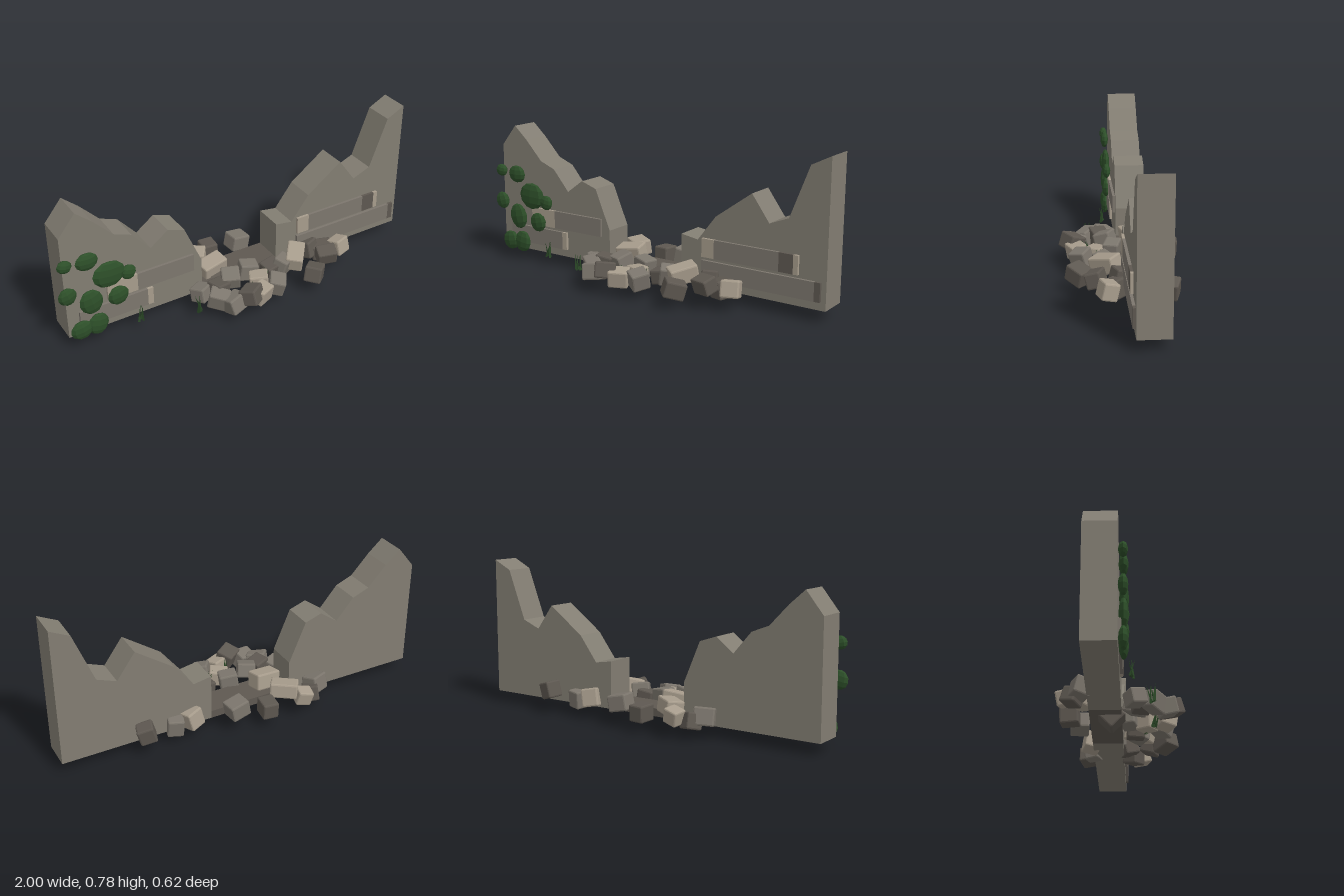
import * as THREE from 'three';
import { RoundedBoxGeometry } from 'three/addons/geometries/RoundedBoxGeometry.js';

export function createModel() {
  const model = new THREE.Group();
  model.name = 'ruinedWall';

  const material = (name, color) => {
    const m = new THREE.MeshStandardMaterial({ color, flatShading: true });
    m.name = name;
    return m;
  };
  const wallStone = material('wallStone', 0x827d72);
  const darkStone = material('darkStone', 0x5e5851);
  const midStone = material('midStone', 0x7c766d);
  const lightStone = material('lightStone', 0xa79c8c);
  const leaf = material('leaf', 0x2d4f29);
  const grass = material('grass', 0x2a4726);

  const add = (name, geometry, mat, parent = model) => {
    const mesh = new THREE.Mesh(geometry, mat);
    mesh.name = name;
    parent.add(mesh);
    return mesh;
  };
  const group = (name) => {
    const g = new THREE.Group();
    g.name = name;
    model.add(g);
    return g;
  };

  // Seeded random numbers from -1 to 1
  let seed = 11;
  const rand = () => {
    seed = (seed * 16807) % 2147483647;
    return (seed / 2147483647) * 2 - 1;
  };

  // Two broken wall halves with jagged tops
  const buildWall = (name, outline) => {
    const shape = new THREE.Shape(outline.map(([x, y]) => new THREE.Vector2(x, y)));
    const geometry = new THREE.ExtrudeGeometry(shape, { depth: 0.155, bevelEnabled: false });
    geometry.translate(0, 0, -0.15);
    add(name, geometry, wallStone);
  };
  buildWall('wallRight', [
    [-0.96, 0.06], [-0.23, 0.06], [-0.23, 0.25], [-0.32, 0.46], [-0.41, 0.49], [-0.505, 0.42],
    [-0.6, 0.53], [-0.69, 0.565], [-0.79, 0.67], [-0.87, 0.74], [-0.96, 0.63],
  ]);
  buildWall('wallLeft', [
    [0.215, 0.06], [1, 0.06], [1, 0.78], [0.9, 0.73], [0.8, 0.47], [0.7, 0.43],
    [0.605, 0.56], [0.41, 0.42], [0.31, 0.29], [0.215, 0.305],
  ]);

  // Low sill across the breach
  add('sill', new THREE.BoxGeometry(0.445, 0.04, 0.155), darkStone).position.set(-0.0075, 0.08, -0.0725);

  // Two stone courses on each half, standing slightly proud: first edge, then [next edge, colour]
  const courses = group('courses');
  const buildCourse = (y, start, stones) => {
    let from = start;
    for (const [to, mat] of stones) {
      const stone = add('courseStone', new THREE.BoxGeometry(to - from, 0.094, 0.02), mat, courses);
      stone.position.set((from + to) / 2, y, 0.009);
      from = to;
    }
  };
  buildCourse(0.258, 0.34, [[0.41, lightStone], [0.76, midStone], [0.835, darkStone], [0.86, lightStone]]);
  buildCourse(0.148, 0.34, [[0.945, midStone], [0.975, darkStone]]);
  buildCourse(0.258, -0.75, [[-0.59, lightStone], [-0.28, midStone]]);
  buildCourse(0.148, -0.9, [[-0.54, midStone], [-0.51, lightStone]]);

  // Fallen rubble, sorted by colour: x, z, turn
  const rubble = group('rubble');
  const addRock = (mat, width, depth) =>
    add('rubbleStone', new RoundedBoxGeometry(width, 0.085 + rand() * 0.01, depth, 1, 0.008), mat, rubble);
  const scatter = (mat, spots) => {
    for (const [x, z, turn] of spots) {
      const rock = addRock(mat, 0.093 + rand() * 0.012, 0.083 + rand() * 0.01);
      rock.position.set(x, 0.108 + rand() * 0.022, z);
      rock.rotation.set(rand() * 0.35, turn, rand() * 0.35);
    }
  };
  scatter(darkStone, [
    [-0.32, -0.22, -0.5], [-0.05, -0.25, 1.47], [0.585, -0.19, -0.3], [-0.19, 0.1, 0.3],
    [0.145, 0.07, 0.1], [0.4, 0.03, 0.4], [0.475, 0.055, -0.5], [0.44, 0.145, -0.3],
    [0.315, 0.22, 0.75], [-0.08, 0.24, 0.6],
  ]);
  scatter(midStone, [
    [-0.37, -0.18, 0.4], [0.105, -0.21, 0.1], [0.42, -0.16, -0.3], [-0.27, 0.07, 0.5],
    [-0.1, 0.07, -0.4], [0.02, 0.04, -0.3], [0.2, 0.09, 0.5], [0.095, 0.2, -0.6],
    [-0.165, 0.22, 0.2], [-0.22, 0.16, -0.7],
  ]);
  scatter(lightStone, [
    [-0.25, -0.26, -0.2], [0.33, -0.16, 0.3], [0.035, 0.125, -0.5], [0.555, 0.095, 0.3],
    [-0.01, 0.22, 0.4],
  ]);

  // Larger slabs on top of the heap, and one block tipped on its edge beneath it
  [[-0.18, -0.19, -0.6], [-0.135, -0.06, 0.15], [0.28, 0.09, 0.9]].forEach(([x, z, turn]) => {
    const slab = addRock(lightStone, 0.14, 0.09);
    slab.position.set(x, 0.135, z);
    slab.rotation.set(0.15, turn, 0.1);
  });
  const tipped = add('tippedStone', new RoundedBoxGeometry(0.1, 0.1, 0.1, 1, 0.008), darkStone, rubble);
  tipped.position.set(-0.12, 0.067, -0.045);
  tipped.rotation.x = Math.PI / 4;

  // Flat ivy clumps on the front: x, y, half width, half height
  const ivy = group('ivy');
  [
    [-0.955, 0.49, 0.038, 0.033], [-0.845, 0.48, 0.058, 0.047], [-0.955, 0.32, 0.047, 0.047],
    [-0.74, 0.37, 0.085, 0.072], [-0.64, 0.345, 0.04, 0.04], [-0.84, 0.245, 0.06, 0.07],
    [-0.7, 0.23, 0.055, 0.052], [-0.9, 0.1, 0.058, 0.052], [-0.815, 0.105, 0.055, 0.06],
  ].forEach(([x, y, w, h]) => {
    const clump = add('ivyClump', new THREE.SphereGeometry(1, 8, 6), leaf, ivy);
    clump.scale.set(w, h, 0.022);
    clump.position.set(x, y, 0.028);
    clump.rotation.z = rand() * 0.3;
  });

  // Grass tufts at the foot of the wall: x, z
  const tufts = group('grassTufts');
  [[-0.605, 0.055], [-0.325, 0.15], [-0.03, 0.16], [0.08, 0.12]].forEach(([x, z]) => {
    for (let i = 0; i < 5; i++) {
      const geometry = new THREE.ConeGeometry(0.007, 0.085 + rand() * 0.015, 3);
      geometry.translate(0, 0.042, 0);
      const blade = add('grassBlade', geometry, grass, tufts);
      blade.position.set(x + rand() * 0.012, 0.06, z + rand() * 0.012);
      blade.rotation.set(rand() * 0.3, rand() * 3, rand() * 0.3);
    }
  });

  return model;
}
